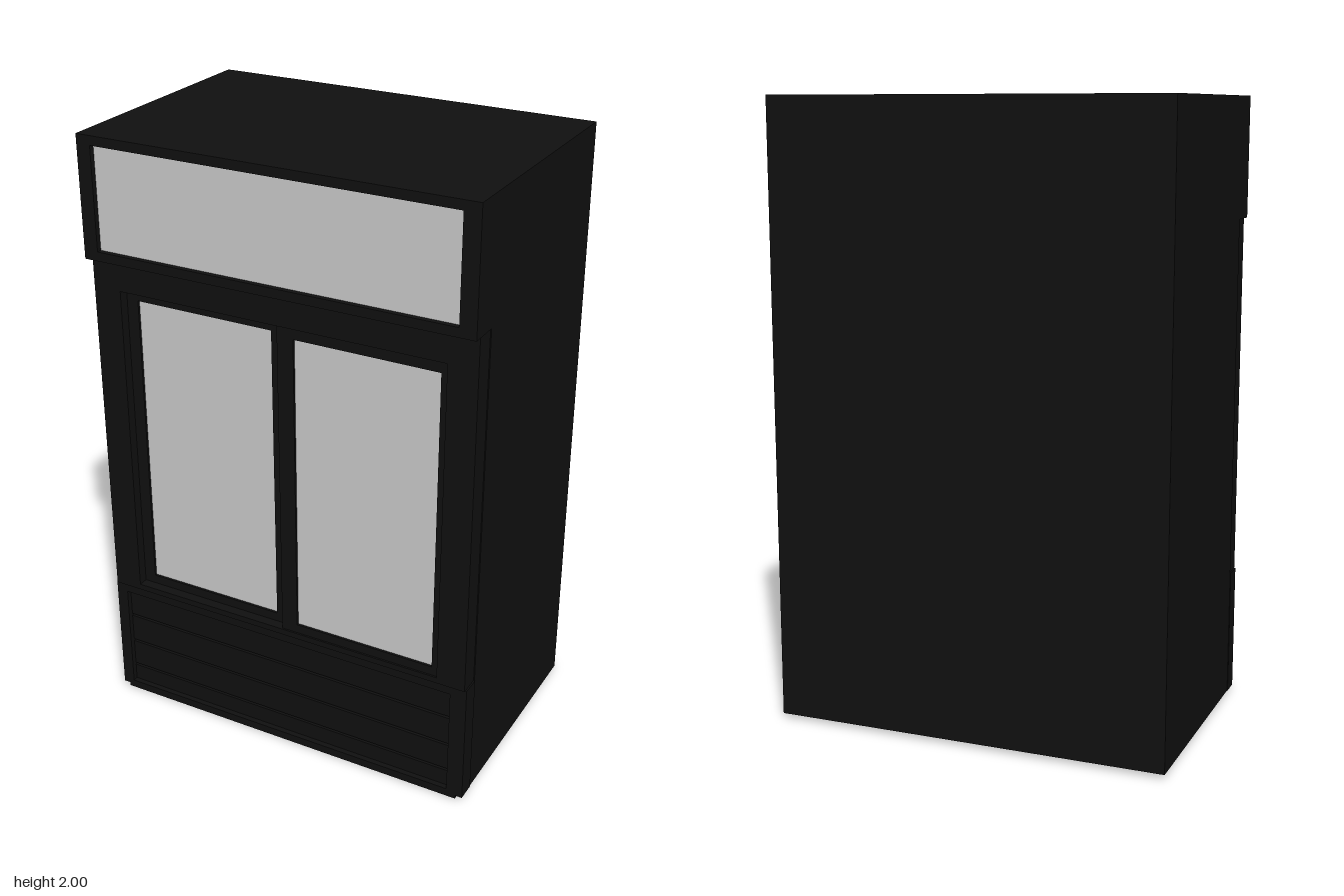
import * as THREE from 'three';

const black = new THREE.MeshStandardMaterial({ color: 0x101010 });
const pale = new THREE.MeshStandardMaterial({ color: 0xcccccc });

// Box given by its limits on each axis
function block(name, [x0, x1], [y0, y1], [z0, z1], material = black) {
  const mesh = new THREE.Mesh(new THREE.BoxGeometry(x1 - x0, y1 - y0, z1 - z0), material);
  mesh.position.set((x0 + x1) / 2, (y0 + y1) / 2, (z0 + z1) / 2);
  mesh.name = name;
  return mesh;
}

function trace(path, [x0, x1], [y0, y1]) {
  path.moveTo(x0, y0);
  path.lineTo(x1, y0);
  path.lineTo(x1, y1);
  path.lineTo(x0, y1);
  path.closePath();
  return path;
}

// Rectangular frame with one rectangular opening
function frame(name, xs, ys, holeX, holeY, [z0, z1]) {
  const shape = trace(new THREE.Shape(), xs, ys);
  shape.holes.push(trace(new THREE.Path(), holeX, holeY));
  const geometry = new THREE.ExtrudeGeometry(shape, { depth: z1 - z0, bevelEnabled: false });
  const mesh = new THREE.Mesh(geometry, black);
  mesh.position.z = z0;
  mesh.name = name;
  return mesh;
}

export function createModel() {
  const model = new THREE.Group();
  model.name = 'displayFridge';

  // Cabinet
  model.add(block('cabinet', [-0.648, 0.648], [0.015, 2], [-0.42, 0.32]));
  model.add(block('baseFoot', [-0.63, 0.625], [0, 0.03], [0.35, 0.38]));

  // Overhanging header with its sign panel
  model.add(frame('headerFrame', [-0.648, 0.648], [1.61, 2], [-0.6, 0.595], [1.64, 1.97], [0.32, 0.42]));
  model.add(block('signPanel', [-0.6, 0.595], [1.64, 1.97], [0.32, 0.403], pale));

  // Surround of the doors
  model.add(frame('doorSurround', [-0.645, 0.645], [0.43, 1.61], [-0.55, 0.55], [0.45, 1.51], [0.32, 0.388]));

  // Two sliding doors, one running behind the other
  const doors = [
    { name: 'rearDoor', xs: [-0.55, 0], glass: [-0.51, -0.035], z: 0.355 },
    { name: 'frontDoor', xs: [0, 0.55], glass: [0.055, 0.53], z: 0.382 },
  ];
  for (const { name, xs, glass, z } of doors) {
    const door = new THREE.Group();
    door.name = name;
    door.add(frame('doorFrame', xs, [0.45, 1.51], glass, [0.48, 1.475], [0.32, z]));
    door.add(block('doorGlass', glass, [0.48, 1.475], [0.31, z - 0.008], pale));
    model.add(door);
  }

  // Lower grille: surround and four slats parted by narrow grooves
  model.add(frame('grilleSurround', [-0.65, 0.65], [0.015, 0.43], [-0.61, 0.595], [0.03, 0.4], [0.32, 0.383]));
  const edges = [0.03, 0.095, 0.195, 0.3, 0.4];
  for (let i = 0; i < 4; i++) {
    model.add(block('grilleSlat', [-0.61, 0.595], [edges[i], edges[i + 1] - 0.008], [0.31, 0.365]));
  }

  return model;
}
